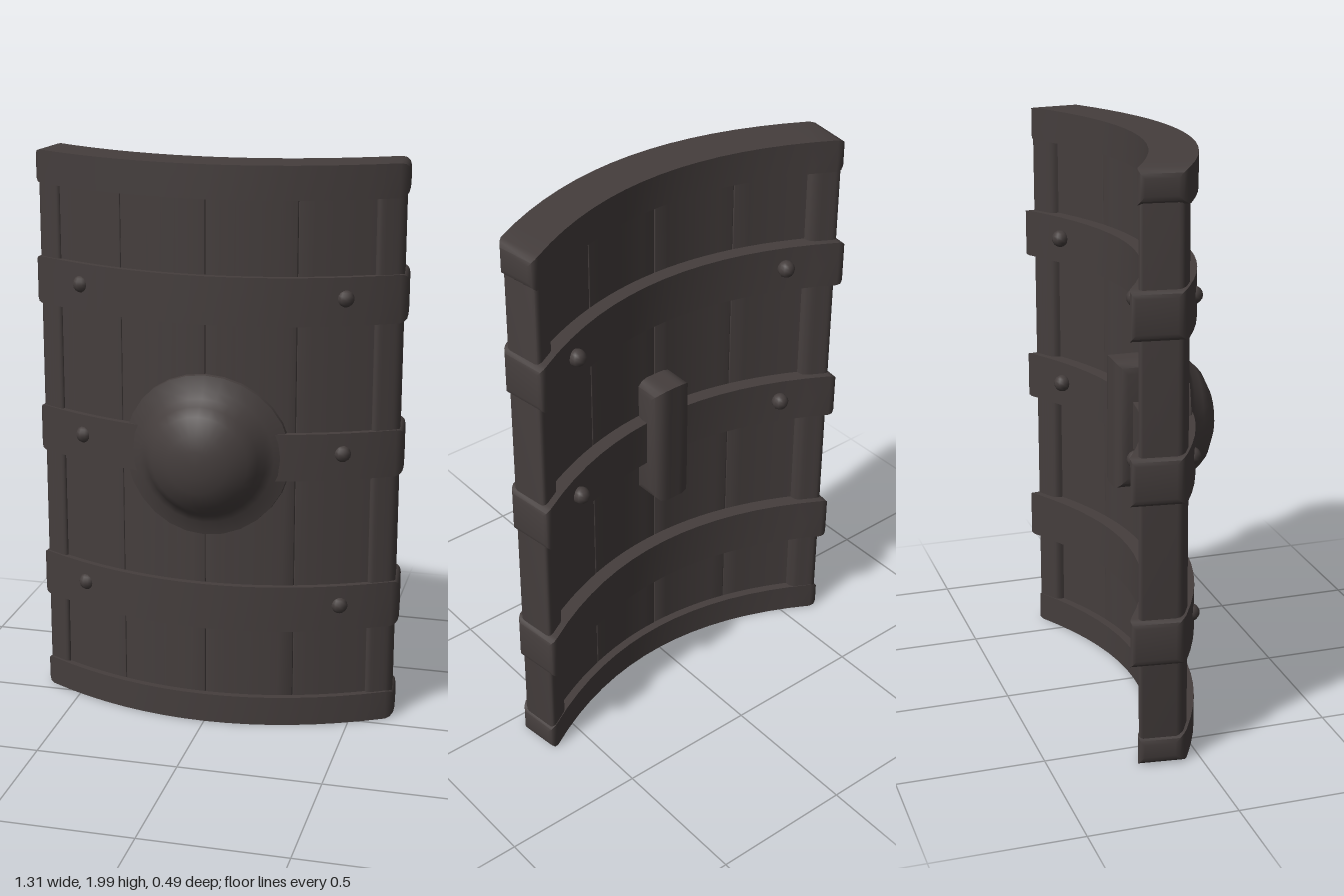
import * as THREE from 'three';
import { mergeVertices, toCreasedNormals } from 'three/addons/utils/BufferGeometryUtils.js';

const iron = new THREE.MeshStandardMaterial({ color: 0x453e3d });
iron.name = 'dark weathered iron';

// Bow the shield backwards towards its sides, with slightly flared edges
const bend = (x, z) => [x * (1 + 0.2 * z), z - 0.48 * x * x];

function bendGeometry(geo) {
  geo.deleteAttribute('normal');
  geo.deleteAttribute('uv');
  const p = geo.attributes.position;
  for (let i = 0; i < p.count; i++) {
    const [x, z] = bend(p.getX(i), p.getZ(i));
    p.setXYZ(i, x, p.getY(i), z);
  }
  return toCreasedNormals(mergeVertices(geo, 1e-4), 0.8);
}

// Soft-edged bar running along x, divided lengthwise so it can bend
function bar(name, x0, x1, y0, y1, z0, z1, r, steps = 16) {
  const a = (z1 - z0) / 2 - r, b = (y1 - y0) / 2 - r;
  const s = new THREE.Shape();
  s.moveTo(-a, -b);
  s.lineTo(a, -b);
  s.lineTo(a, b);
  s.lineTo(-a, b);
  s.closePath();
  const geo = new THREE.ExtrudeGeometry(s, {
    depth: x1 - x0 - 2 * r, steps, bevelEnabled: true,
    bevelSize: r, bevelThickness: r, bevelSegments: 3,
  });
  geo.rotateY(Math.PI / 2);
  geo.translate(x0 + r, (y0 + y1) / 2, (z0 + z1) / 2);
  const mesh = new THREE.Mesh(bendGeometry(geo), iron);
  mesh.name = name;
  return mesh;
}

export function createModel() {
  const shield = new THREE.Group();
  shield.name = 'curvedShield';

  // Vertical planks filling the frame
  const seams = [-0.6, -0.3, 0, 0.3, 0.6];
  for (let i = 0; i < 4; i++) {
    shield.add(bar('plank', seams[i], seams[i + 1], 0.05, 1.95, 0, 0.108, 0.004, 6));
  }

  // Raised frame
  shield.add(bar('topRim', -0.637, 0.637, 1.885, 2, -0.03, 0.133, 0.03));
  shield.add(bar('bottomRim', -0.637, 0.637, 0.01, 0.115, -0.03, 0.133, 0.03));
  for (const side of [-1, 1]) {
    const x = side * 0.582;
    shield.add(bar('sideRim', x - 0.045, x + 0.045, 0.03, 1.97, -0.028, 0.122, 0.02, 4));
  }

  // Cross bands wrapping the edges, with rivets on both faces
  const rivetGeo = new THREE.SphereGeometry(0.03, 10, 8);
  for (const y of [0.45, 1.005, 1.545]) {
    shield.add(bar('crossBand', -0.642, 0.642, y - 0.083, y + 0.083, -0.052, 0.131, 0.026));
    for (const side of [-1, 1]) {
      const spots = [[0.45, 0.122]];
      if (y > 0.9) spots.push([0.445, -0.066]);
      for (const [rx, rz] of spots) {
        const [x, z] = bend(side * rx, rz);
        const rivet = new THREE.Mesh(rivetGeo, iron);
        rivet.name = 'rivet';
        rivet.position.set(x, y + 0.01, z);
        shield.add(rivet);
      }
    }
  }

  // Central boss: thin flange and dome
  const profile = [[0.29, 0.085], [0.285, 0.122], [0.235, 0.136], [0.21, 0.15], [0.19, 0.18],
    [0.162, 0.207], [0.1, 0.237], [0.05, 0.247], [0, 0.25]].map(([r, z]) => new THREE.Vector2(r, z));
  const bossGeo = new THREE.LatheGeometry(profile, 28);
  bossGeo.rotateX(Math.PI / 2);
  bossGeo.translate(0, 1, 0);
  const boss = new THREE.Mesh(bendGeometry(bossGeo), iron);
  boss.name = 'boss';
  shield.add(boss);

  // Hand grip on the back
  shield.add(bar('grip', -0.078, 0.078, 0.77, 1.23, -0.11, 0.02, 0.042, 4));
  return shield;
}
